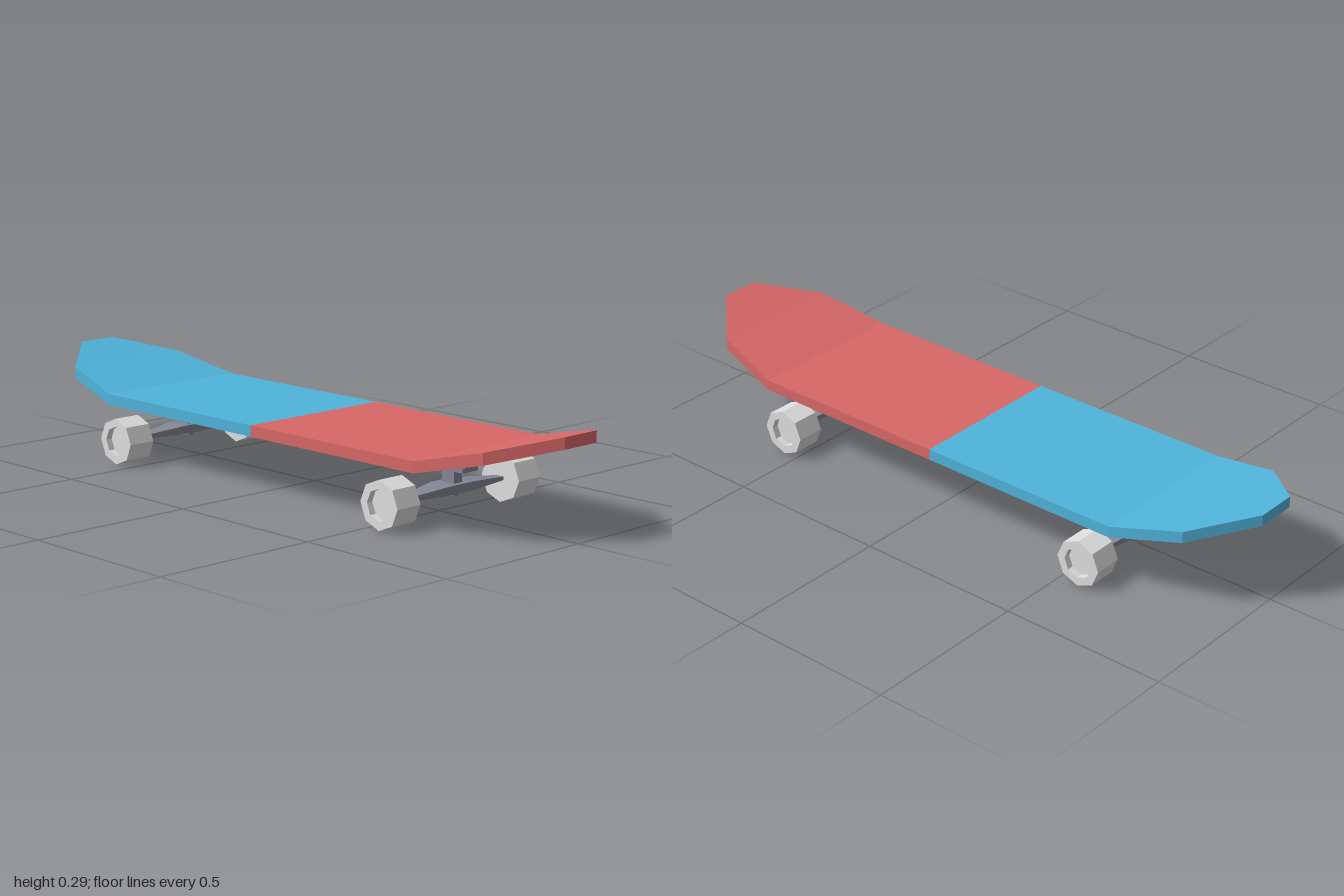
import * as THREE from 'three';

const flat = (name, color) => new THREE.MeshStandardMaterial({ name, color, flatShading: true });

// Loft of box-like sections along z; each section is [z, halfWidth, bottom, top]
function loft(sections) {
  const rings = sections.map(([z, w, b, t]) => [[-w, b, z], [w, b, z], [w, t, z], [-w, t, z]]);
  const pos = [];
  const quad = (a, b, c, d) => [a, b, c, a, c, d].forEach((p) => pos.push(...p));
  for (let i = 0; i < rings.length - 1; i++) {
    for (let j = 0; j < 4; j++) {
      const k = (j + 1) % 4;
      quad(rings[i][j], rings[i][k], rings[i + 1][k], rings[i + 1][j]);
    }
  }
  quad(...rings[rings.length - 1]);
  const geo = new THREE.BufferGeometry();
  geo.setAttribute('position', new THREE.Float32BufferAttribute(pos, 3));
  geo.computeVertexNormals();
  return geo;
}

function add(parent, name, geo, mat, x = 0, y = 0, z = 0) {
  const mesh = new THREE.Mesh(geo, mat);
  mesh.name = name;
  mesh.position.set(x, y, z);
  parent.add(mesh);
  return mesh;
}

export function createModel() {
  const model = new THREE.Group();
  model.name = 'skateboard';
  const red = flat('deck red', 0xd96868);
  const blue = flat('deck blue', 0x50b4dc);
  const metal = flat('truck metal', 0x858694);
  const white = flat('wheel white', 0xe0e0e0);

  // Deck halves with upturned, tapered ends
  const deckGeo = loft([
    [0, 0.248, 0.167, 0.2],
    [0.638, 0.248, 0.167, 0.2],
    [0.85, 0.208, 0.216, 0.25],
    [1, 0.063, 0.26, 0.293],
  ]);
  add(model, 'frontDeck', deckGeo, red);
  add(model, 'backDeck', deckGeo, blue).rotation.y = Math.PI;

  // Hanger tapers towards both wheels
  const hangerGeo = loft([
    [-0.2, 0.012, 0.065, 0.075],
    [-0.045, 0.038, 0.065, 0.09],
    [0.045, 0.038, 0.065, 0.09],
    [0.2, 0.012, 0.065, 0.075],
  ]).rotateY(Math.PI / 2);

  // Eight-sided wheel with a recessed outer face
  const R = 0.07, r = 0.045, w = 0.087, depth = 0.02;
  const wheelGeo = new THREE.LatheGeometry(
    [[0, 0], [R, 0], [R, w], [r, w], [r, w - depth], [0, w - depth]].map(([x, y]) => new THREE.Vector2(x, y)), 8);

  const plateGeo = new THREE.BoxGeometry(0.106, 0.018, 0.193);
  const riserGeo = new THREE.BoxGeometry(0.062, 0.023, 0.135);
  const postGeo = new THREE.BoxGeometry(0.032, 0.044, 0.045);
  const nutGeo = new THREE.CylinderGeometry(0.02, 0.02, 0.012, 6);

  for (const [name, z] of [['front', 0.547], ['back', -0.563]]) {
    const truck = new THREE.Group();
    truck.name = name + 'Truck';
    truck.position.z = z;
    model.add(truck);
    add(truck, 'basePlate', plateGeo, metal, 0, 0.158);
    add(truck, 'riser', riserGeo, metal, 0, 0.1395);
    add(truck, 'post', postGeo, metal, 0, 0.108);
    add(truck, 'hanger', hangerGeo, metal);
    add(truck, 'kingpinNut', nutGeo, metal, 0, 0.059).rotation.y = Math.PI / 2;
    for (const s of [1, -1]) {
      const wheel = add(truck, s > 0 ? 'leftWheel' : 'rightWheel', wheelGeo, white, s * 0.196, R);
      wheel.rotation.z = -s * Math.PI / 2;
    }
  }
  return model;
}
